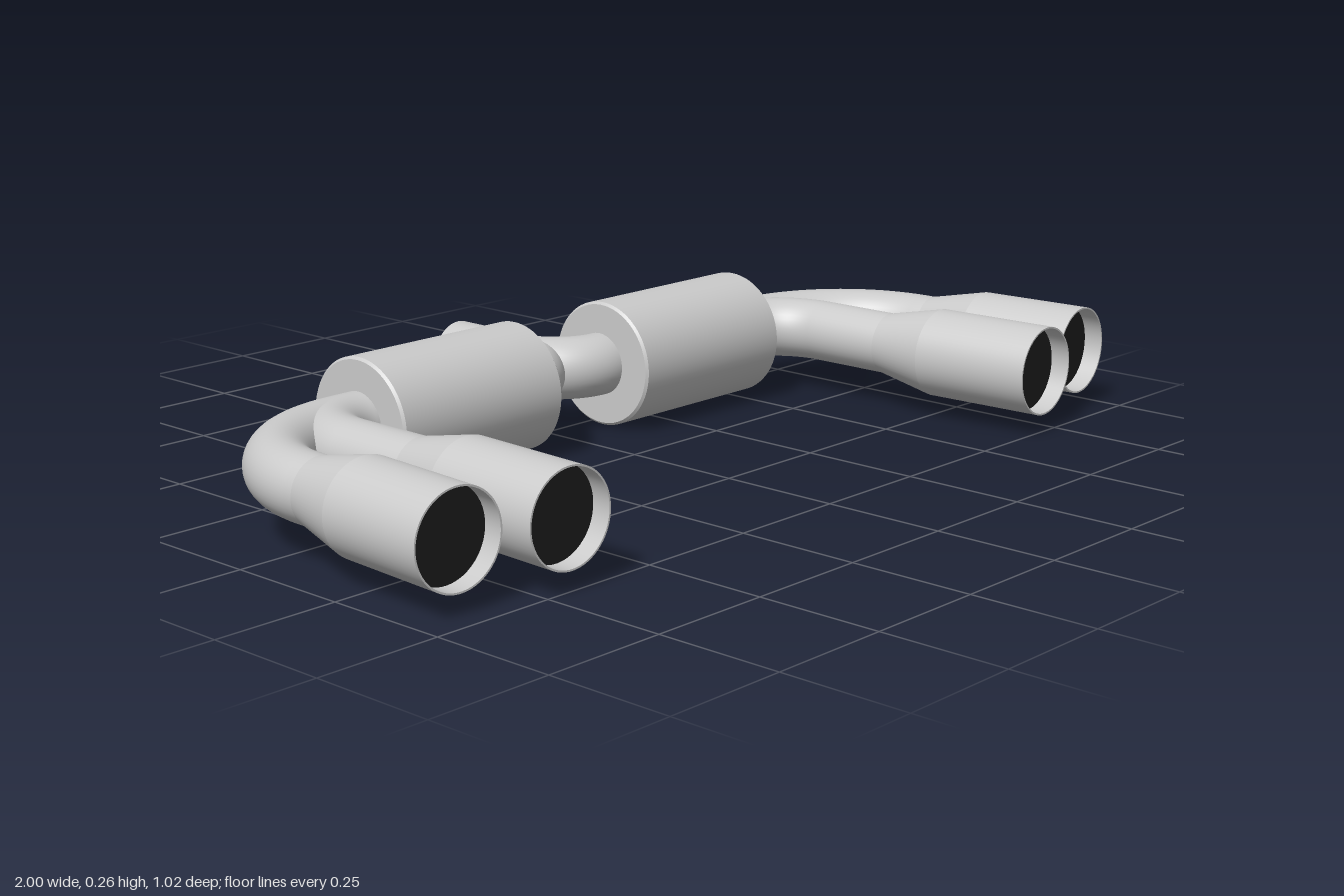
import * as THREE from 'three';

const metal = new THREE.MeshStandardMaterial({ color: 0xcacaca, side: THREE.DoubleSide });
metal.name = 'brushed steel';
const dark = new THREE.MeshStandardMaterial({ color: 0x1c1c1c, side: THREE.DoubleSide });
dark.name = 'dark interior';

const Y = 0.133;        // height of every pipe axis
const PIPE = 0.065;     // pipe radius
const BACK = -0.21;     // z of the muffler axis
const at = (x, z) => new THREE.Vector3(x, Y, z);

function add(parent, name, geometry, material) {
  const mesh = new THREE.Mesh(geometry, material);
  mesh.name = name;
  parent.add(mesh);
  return mesh;
}

// Revolved body with a crisp edge at every profile point
function revolve(parent, name, profile) {
  for (let i = 0; i < profile.length - 1; i++) {
    const pts = [profile[i], profile[i + 1]].map(([r, h]) => new THREE.Vector2(r, h));
    add(parent, name, new THREE.LatheGeometry(pts, 64), metal);
  }
}

// Pipe through straight run, quarter bend, straight run; corner is where the runs would meet
function bentPipe(parent, name, start, bendStart, corner, bendEnd, end) {
  const k = 0.5523;
  const path = new THREE.CurvePath();
  path.add(new THREE.LineCurve3(start, bendStart));
  path.add(new THREE.CubicBezierCurve3(bendStart, bendStart.clone().lerp(corner, k),
    bendEnd.clone().lerp(corner, k), bendEnd));
  path.add(new THREE.LineCurve3(bendEnd, end));
  add(parent, name, new THREE.TubeGeometry(path, 72, PIPE, 40, false), metal);
}

// Flared tailpipe tip with a thin rim and a recessed dark bore
function tip(parent, name, from, to) {
  const group = new THREE.Group();
  group.name = name;
  const dir = to.clone().sub(from);
  const L = dir.length();
  group.position.copy(from);
  group.quaternion.setFromUnitVectors(new THREE.Vector3(0, 1, 0), dir.normalize());
  revolve(group, 'tipShell', [[PIPE, 0], [0.0925, 0.13], [0.0925, L], [0.089, L], [0.089, L - 0.04]]);
  const bore = add(group, 'tipBore', new THREE.CircleGeometry(0.089, 48), dark);
  bore.rotation.x = -Math.PI / 2;
  bore.position.y = L - 0.04;
  parent.add(group);
}

export function createModel() {
  const model = new THREE.Group();
  model.name = 'dualExhaust';

  for (const s of [1, -1]) {
    const side = new THREE.Group();
    side.name = s > 0 ? 'leftSide' : 'rightSide';
    model.add(side);

    // Muffler can with lightly bevelled ends
    const muffler = new THREE.Group();
    muffler.name = 'muffler';
    muffler.position.set(s * 0.333, Y, BACK);
    muffler.rotation.z = -Math.PI / 2;
    const R = 0.131, H = 0.21, b = 0.005;
    revolve(muffler, 'mufflerShell', [[0, -H], [R - b, -H], [R, -H + b], [R, H - b], [R - b, H], [0, H]]);
    side.add(muffler);

    // Half of the inlet splitter
    bentPipe(side, 'inletBranch', at(0, -0.512), at(0, -0.335), at(0, BACK - 0.005),
      at(s * 0.12, BACK - 0.005), at(s * 0.15, BACK - 0.005));

    // Outer and inner tailpipes
    bentPipe(side, 'outerTailpipe', at(s * 0.52, BACK), at(s * 0.6, BACK), at(s * 0.882, BACK),
      at(s * 0.882, 0.06), at(s * 0.883, 0.085));
    bentPipe(side, 'innerTailpipe', at(s * 0.52, BACK), at(s * 0.55, BACK), at(s * 0.682, BACK),
      at(s * 0.682, -0.06), at(s * 0.683, 0.12));

    tip(side, 'outerTip', at(s * 0.882, 0.08), at(s * 0.908, 0.455));
    tip(side, 'innerTip', at(s * 0.682, 0.115), at(s * 0.7, 0.506));
  }
  return model;
}
